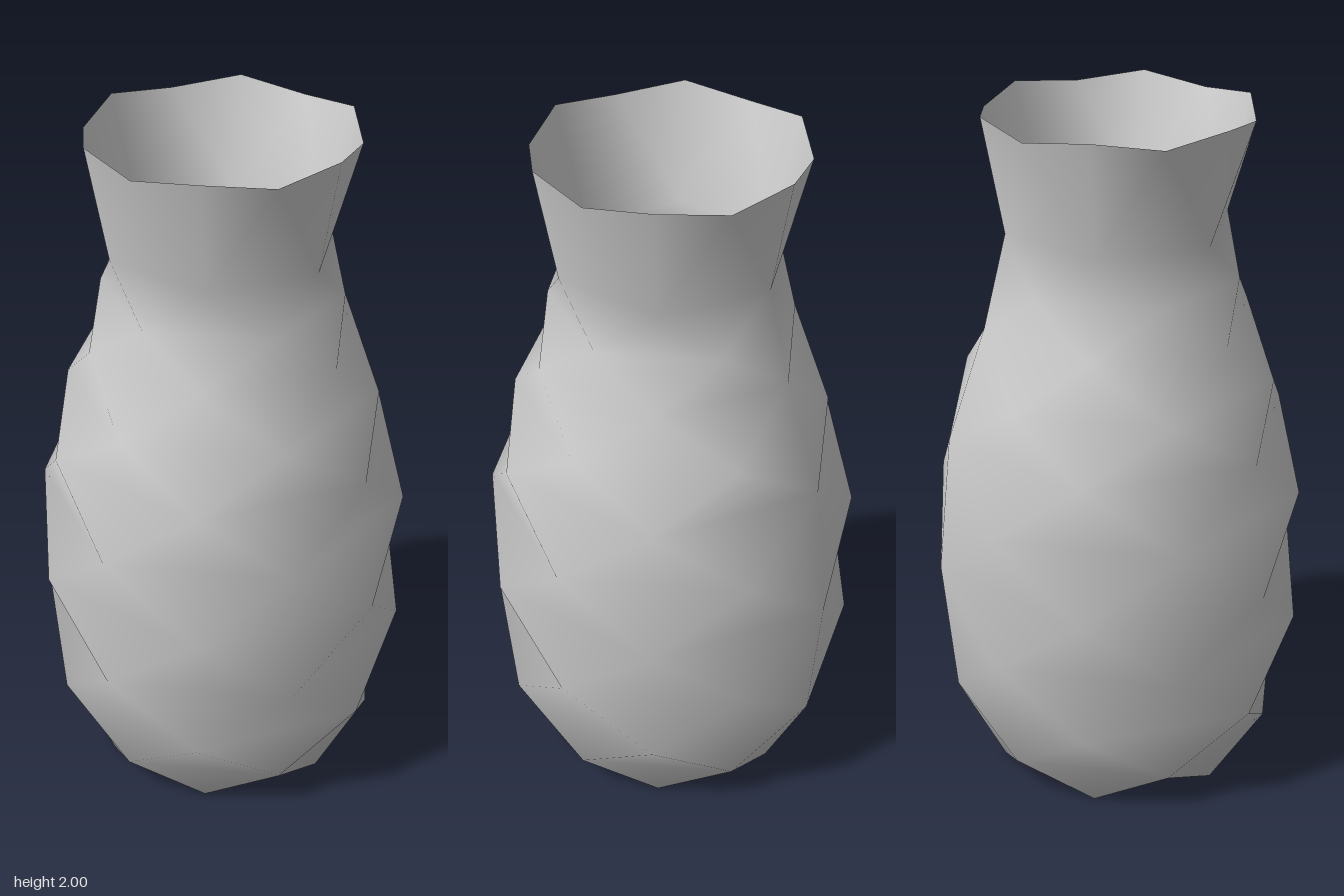
import * as THREE from 'three';

const material = new THREE.MeshStandardMaterial({ color: 0xcccccc });

// Each row is [y, radius]; six corners per row, every row turned half a step
// against the one below. parity 0 puts a corner on +z.
function diamondWall(name, rows, firstParity, { tall, fillBottom = false, inward = false }) {
  const positions = [], index = [];
  const parity = (i) => (i + firstParity) % 2;
  rows.forEach(([y, r], i) => {
    for (let k = 0; k < 6; k++) {
      const a = (2 * k + parity(i)) * Math.PI / 6;
      positions.push(r * Math.sin(a), y, r * Math.cos(a));
    }
  });
  const id = (row, step) => row * 6 + Math.floor((step % 12) / 2);
  const tri = (a, b, c) => (inward ? index.push(a, c, b) : index.push(a, b, c));

  // one diamond around each edge of a row, split across or upright
  for (let i = fillBottom ? 0 : 1; i < rows.length - 1; i++) {
    for (let k = 0; k < 6; k++) {
      const s = 2 * k + parity(i);
      const l = id(i, s), r = id(i, s + 2), t = id(i + 1, s + 1);
      if (i === 0) { tri(l, r, t); continue; }
      const b = id(i - 1, s + 1);
      if (tall(i, s + 1)) { tri(b, r, t); tri(b, t, l); }
      else { tri(l, r, t); tri(l, b, r); }
    }
  }
  const geometry = new THREE.BufferGeometry();
  geometry.setAttribute('position', new THREE.Float32BufferAttribute(positions, 3));
  geometry.setIndex(index);
  geometry.computeVertexNormals();
  const mesh = new THREE.Mesh(geometry, material);
  mesh.name = name;
  return mesh;
}

export function createModel() {
  const vase = new THREE.Group();
  vase.name = 'vase';
  const rim = [[1.975, 0.375], [2, 0.385]];

  // faceted outside, from the foot to the flared rim
  const outer = [
    [0, 0.24], [0, 0.365], [0.12, 0.45], [0.28, 0.505], [0.475, 0.532], [0.68, 0.543],
    [0.885, 0.532], [1.08, 0.503], [1.23, 0.447], [1.4, 0.392], [1.53, 0.342], [1.67, 0.325], ...rim,
  ];
  vase.add(diamondWall('outerWall', outer, 1, {
    tall: (i, column) => i === 1 || i === outer.length - 2 || column === 6,
  }));

  // hollow inside, meeting the outside at the rim
  const inner = [
    [0.08, 0.3], [0.16, 0.39], [0.29, 0.45], [0.475, 0.475], [0.68, 0.485], [0.885, 0.475],
    [1.08, 0.45], [1.23, 0.39], [1.4, 0.345], [1.53, 0.27], [1.67, 0.29], ...rim,
  ];
  vase.add(diamondWall('innerWall', inner, 0, {
    tall: (i) => i === inner.length - 2, fillBottom: true, inward: true,
  }));

  // inside floor
  const floor = new THREE.Mesh(
    new THREE.CircleGeometry(inner[0][1], 6, Math.PI / 6).rotateX(-Math.PI / 2), material);
  floor.position.y = inner[0][0];
  floor.name = 'innerFloor';
  vase.add(floor);

  // star-shaped underside
  const star = [];
  for (let s = 0; s < 12; s++) {
    const r = s % 2 ? outer[0][1] : outer[1][1], a = s * Math.PI / 6;
    star.push(new THREE.Vector2(r * Math.sin(a), r * Math.cos(a)));
  }
  const base = new THREE.Mesh(
    new THREE.ShapeGeometry(new THREE.Shape(star)).rotateX(Math.PI / 2), material);
  base.name = 'base';
  vase.add(base);

  return vase;
}
